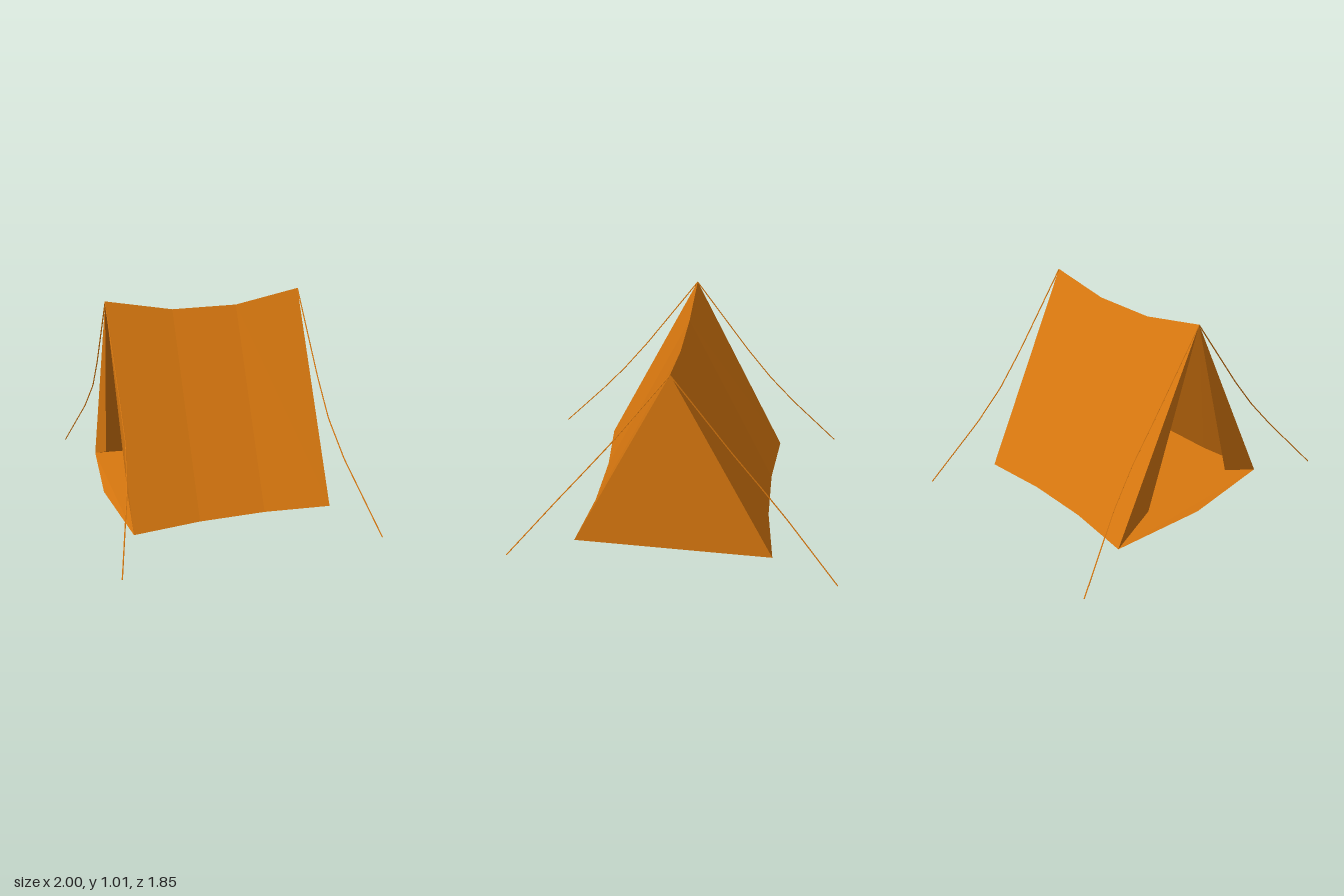
import * as THREE from 'three';

const fabric = new THREE.MeshStandardMaterial({ color: 0xd9780f, flatShading: true, side: THREE.DoubleSide });
const HALF = 0.49, BASE = 0.03, PEAK = 1.012;

// Cloth sheet lofted between two edges with the same number of points
function sheet(name, edgeA, edgeB) {
  const pos = [];
  for (let i = 0; i < edgeA.length - 1; i++) {
    const [a, b, c, d] = [edgeA[i], edgeA[i + 1], edgeB[i + 1], edgeB[i]];
    pos.push(...a, ...b, ...c, ...a, ...c, ...d);
  }
  return finish(name, pos);
}

function triangle(name, a, b, c) {
  return finish(name, [...a, ...b, ...c]);
}

function finish(name, pos) {
  const geo = new THREE.BufferGeometry();
  geo.setAttribute('position', new THREE.Float32BufferAttribute(pos, 3));
  geo.computeVertexNormals();
  const mesh = new THREE.Mesh(geo, fabric);
  mesh.name = name;
  return mesh;
}

// Guy rope made of straight segments
function rope(name, points) {
  const path = new THREE.CurvePath();
  for (let i = 0; i < points.length - 1; i++) {
    path.add(new THREE.LineCurve3(points[i], points[i + 1]));
  }
  const mesh = new THREE.Mesh(new THREE.TubeGeometry(path, 48, 0.003, 5), fabric);
  mesh.name = name;
  return mesh;
}

export function createModel() {
  const tent = new THREE.Group();
  tent.name = 'tent';

  // Stations from back to front: sagging ridge, pinched base
  const stations = [
    [-HALF, PEAK, HALF], [-0.163, 0.95, 0.455], [0.163, 0.95, 0.455], [HALF, PEAK, HALF],
  ];
  const ridge = stations.map(([z, y]) => [0, y, z]);
  const hem = (s) => stations.map(([z, , w]) => [s * w, BASE, z]);
  const frontPeak = [0, PEAK, HALF];

  // Side walls
  tent.add(sheet('leftWall', hem(1), ridge), sheet('rightWall', ridge, hem(-1)));

  // Floor with a small sill sagging out of the doorway
  tent.add(sheet('floor', hem(-1), hem(1)));
  tent.add(triangle('doorSill', [-HALF, BASE, HALF], [HALF, BASE, HALF], [0, 0.025, 0.535]));

  // Closed back wall
  tent.add(triangle('backWall', [HALF, BASE, -HALF], [-HALF, BASE, -HALF], [0, PEAK, -HALF]));

  // Door flaps, drawn open to both sides
  tent.add(triangle('leftDoorFlap', frontPeak, [0.275, 0.11, 0.467], [HALF, BASE, HALF]));
  tent.add(triangle('rightDoorFlap', frontPeak, [-HALF, BASE, HALF], [-0.275, 0.125, 0.467]));

  // Four slack guy ropes
  const ropePoints = [[0, 1.01, 0.49], [0.277, 0.63, 0.493], [0.411, 0.46, 0.498], [0.546, 0.3, 0.525], [0.802, 0.003, 0.612]];
  for (const sx of [1, -1]) {
    for (const sz of [1, -1]) {
      const points = ropePoints.map(([x, y, z]) => new THREE.Vector3(sx * x, y, sz * z));
      tent.add(rope(`${sz > 0 ? 'front' : 'back'}${sx > 0 ? 'Left' : 'Right'}GuyRope`, points));
    }
  }

  // The tent stands turned on its ground
  tent.rotation.y = -0.502;
  const model = new THREE.Group();
  model.name = 'model';
  model.add(tent);
  return model;
}
